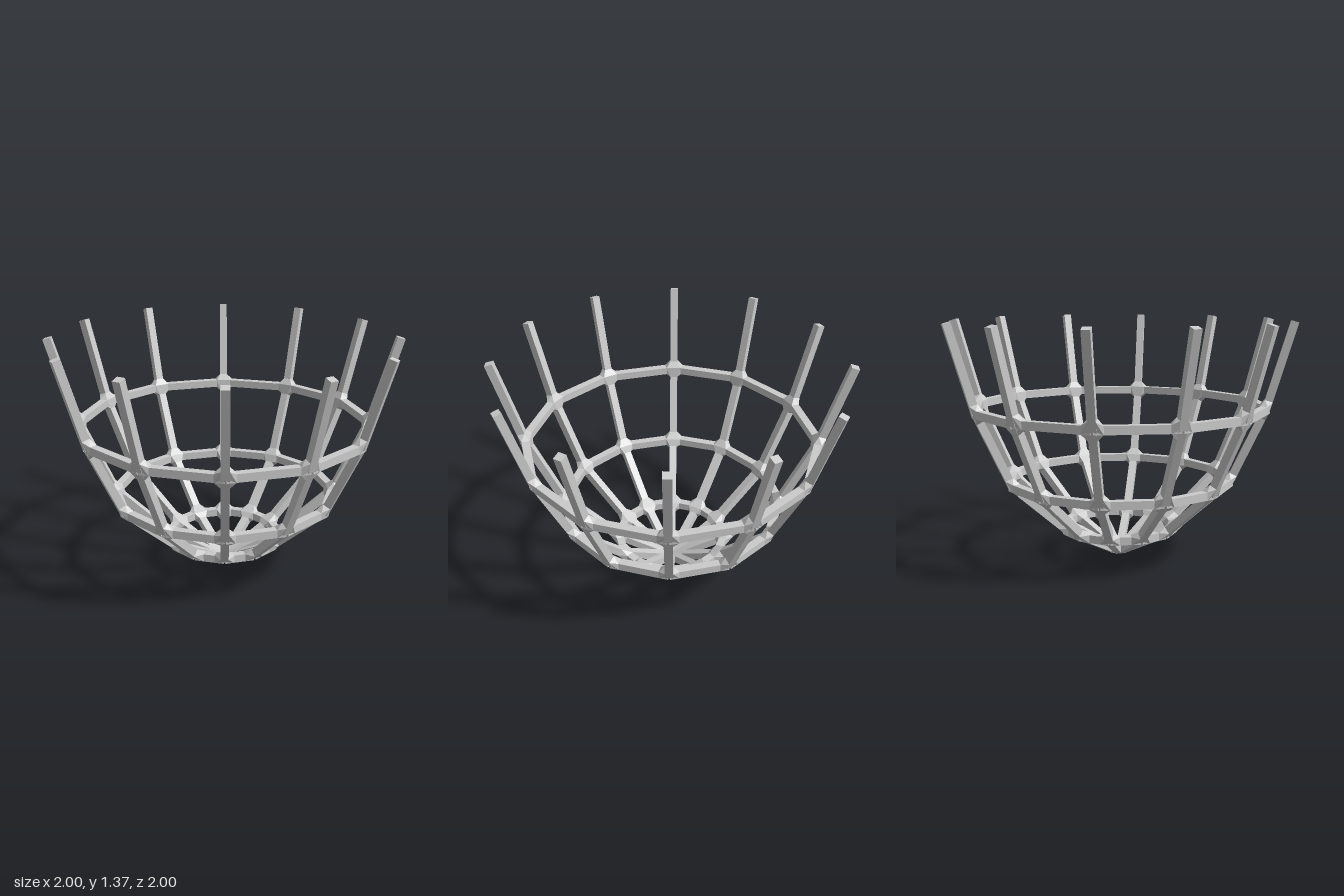
import * as THREE from 'three';
import { ConvexGeometry } from 'three/addons/geometries/ConvexGeometry.js';

const RIBS = 12;
const BAR = 0.045; // square bar thickness
const HALF = BAR / 2;
const REACH = 0.052; // how far a joint spreads along its bars
const STEP = (Math.PI * 2) / RIBS;

// Centre line of one rib: x is the radius, y the height
const line = [[0, 0], [0.325, 0.162], [0.64, 0.445], [0.835, 0.868], [0.978, 1.36]]
  .map(([x, y]) => new THREE.Vector2(x, y));

const direction = (a, b) => b.clone().sub(a).normalize();
const outward = (d) => new THREE.Vector2(d.y, -d.x);

// Mitred offset of the centre line at point i, towards the outside
function offset(i) {
  const before = outward(direction(line[Math.max(i - 1, 0)], line[Math.max(i, 1)]));
  const last = line.length - 1;
  const after = outward(direction(line[Math.min(i, last - 1)], line[Math.min(i + 1, last)]));
  const n = before.clone().add(after).normalize();
  return n.multiplyScalar(HALF / n.dot(before));
}

// Bent square bar, cut flat where it rests on the ground
function ribGeometry() {
  const outer = line.map((p, i) => p.clone().add(offset(i)));
  const inner = line.map((p, i) => p.clone().sub(offset(i)));
  const foot = [new THREE.Vector2(0, 0), new THREE.Vector2(0.05, 0)];
  inner[0].set(0, HALF * 1.12);
  const shape = new THREE.Shape([...foot, ...outer.slice(1), ...inner.reverse()]);
  const geometry = new THREE.ExtrudeGeometry(shape, { depth: BAR, bevelEnabled: false });
  return geometry.translate(0, 0, -HALF);
}

// Faceted joint: hull around the ends of two rib bars and two hoop bars
function jointGeometry(i) {
  const p = line[i];
  const points = [];
  for (const neighbour of [line[i - 1], line[i + 1]]) {
    const d = direction(p, neighbour);
    const n = outward(d);
    for (const a of [-HALF, HALF]) for (const z of [-HALF, HALF]) {
      points.push(new THREE.Vector3(p.x + d.x * REACH + n.x * a, p.y + d.y * REACH + n.y * a, z));
    }
  }
  const c = Math.cos(STEP / 2), s = Math.sin(STEP / 2);
  for (const side of [-1, 1]) for (const a of [-HALF, HALF]) for (const y of [-HALF, HALF]) {
    points.push(new THREE.Vector3(p.x - REACH * s + a * c, p.y + y, side * (REACH * c + a * s)));
  }
  return new ConvexGeometry(points);
}

export function createModel() {
  const model = new THREE.Group();
  model.name = 'basketFrame';
  const material = new THREE.MeshStandardMaterial({ color: 0xcccccc, flatShading: true });

  const add = (geometry, name, angle) => {
    const mesh = new THREE.Mesh(geometry, material);
    mesh.name = name;
    mesh.rotation.y = angle;
    model.add(mesh);
  };

  // Upright ribs meeting at the base
  const rib = ribGeometry();
  for (let k = 0; k < RIBS; k++) add(rib, 'rib', k * STEP);

  // Three twelve-sided hoops with a joint at every crossing
  for (const i of [1, 2, 3]) {
    const { x: radius, y } = line[i];
    const bar = new THREE.BoxGeometry(BAR, BAR, 2 * radius * Math.sin(STEP / 2));
    bar.translate(radius * Math.cos(STEP / 2), y, 0);
    const joint = jointGeometry(i);
    for (let k = 0; k < RIBS; k++) {
      add(bar, 'hoopBar', (k + 0.5) * STEP);
      add(joint, 'joint', k * STEP);
    }
  }
  return model;
}
